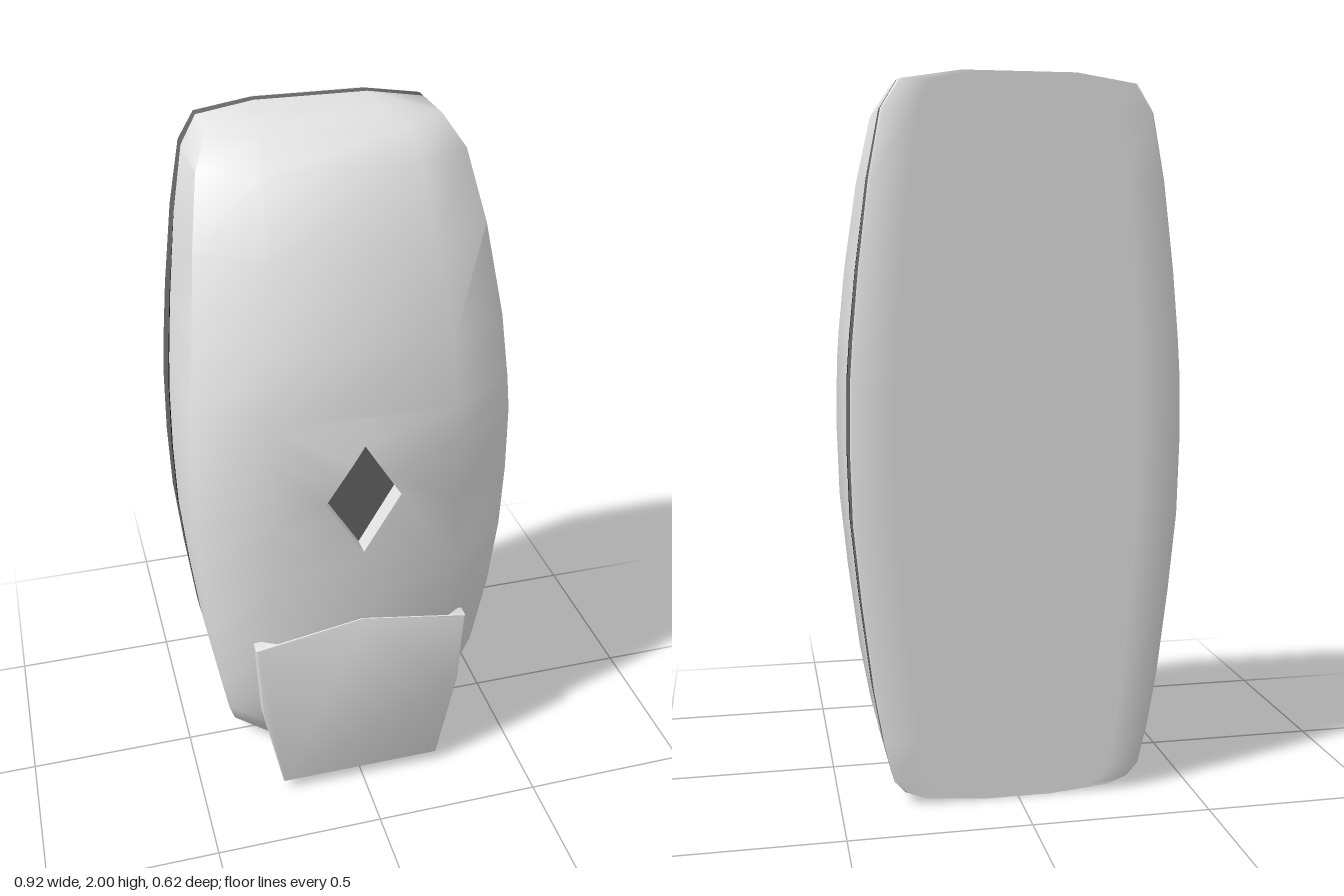
import * as THREE from 'three';
import { mergeGeometries, toCreasedNormals } from 'three/addons/utils/BufferGeometryUtils.js';

const BACK = -0.31;
const EDGE = 0.006;      // small chamfer around the back plate
// Horizontal sections: y, half width, front half width, shoulder z, front z, seam z
const SECTIONS = [
  [0, 0.10, 0.08, -0.17, -0.15, -0.245],
  [0.015, 0.27, 0.21, -0.10, -0.05, -0.243],
  [0.035, 0.32, 0.235, -0.03, 0.05, -0.24],
  [0.07, 0.352, 0.245, 0.02, 0.125, -0.238],
  [0.18, 0.378, 0.252, 0.085, 0.20, -0.229],
  [0.33, 0.404, 0.258, 0.135, 0.255, -0.215],
  [0.58, 0.434, 0.262, 0.167, 0.30, -0.197],
  [0.8, 0.455, 0.265, 0.174, 0.304, -0.188],
  [1.0, 0.46, 0.266, 0.178, 0.307, -0.185],
  [1.2, 0.456, 0.265, 0.18, 0.31, -0.19],
  [1.3, 0.449, 0.26, 0.17, 0.292, -0.196],
  [1.48, 0.432, 0.25, 0.142, 0.26, -0.21],
  [1.72, 0.402, 0.23, 0.06, 0.16, -0.235],
  [1.9, 0.368, 0.212, -0.03, 0.065, -0.255],
  [1.975, 0.322, 0.20, -0.11, -0.02, -0.268],
  [2.0, 0.16, 0.13, -0.17, -0.11, -0.272],
].map(([y, w, f, s, z, seam]) => ({ y, w, f, s, z, seam }));
const first = SECTIONS[0], last = SECTIONS[SECTIONS.length - 1];
// Flat closing rows, collapsed onto the centre line
const ROWS = [{ ...first, w: 0, f: 0 }, ...SECTIONS, { ...last, w: 0, f: 0 }];
const CUT = 3;           // rows up to here belong to the dark underside
const HOLE = [8, 11];    // rows between which the front carries the window

const material = (name, color, side = THREE.FrontSide) => {
  const m = new THREE.MeshStandardMaterial({ color, side });
  m.name = name;
  return m;
};

// Joins rows of points into a surface; skip(i, j) leaves out a quad
function loft(rows, skip = () => false) {
  const n = rows[0].length, index = [];
  for (let i = 0; i < rows.length - 1; i++) {
    for (let j = 0; j < n - 1; j++) {
      if (skip(i, j)) continue;
      const a = i * n + j, b = a + 1, c = b + n, d = a + n;
      index.push(a, b, c, a, c, d);
    }
  }
  const g = new THREE.BufferGeometry();
  g.setAttribute('position', new THREE.Float32BufferAttribute(rows.flat(2), 3));
  g.setIndex(index);
  return g.toNonIndexed();
}

const shellRow = (r) => [
  [-r.w, r.y, r.seam], [-r.w, r.y, r.s], [-r.f, r.y, r.z],
  [r.f, r.y, r.z], [r.w, r.y, r.s], [r.w, r.y, r.seam],
];
// Width of the open joint, closing towards both ends
const gap = (y) => 0.02 * Math.max(0, Math.sin(((y - 0.15) / 1.6) * Math.PI));

// Depth of the front face at a height
const frontZ = (y) => {
  const k = Math.max(1, SECTIONS.findIndex((s) => s.y >= y - 1e-6));
  const a = SECTIONS[k - 1], b = SECTIONS[k];
  return THREE.MathUtils.mapLinear(y, a.y, b.y, a.z, b.z);
};

export function createModel() {
  const group = new THREE.Group();
  const cover = material('cover light grey', 0xe2e2e2);
  const dark = material('dark grey', 0x666666);
  const black = material('seam black', 0x0a0a0a);
  const add = (name, geometry, mat) => {
    const mesh = new THREE.Mesh(geometry, mat);
    mesh.name = name;
    group.add(mesh);
  };
  const smooth = (g) => toCreasedNormals(g, 1.0);

  // Diamond window outline, counterclockwise from the bottom corner
  const diamond = [[-0.005, 0.87], [0.1, 1.05], [-0.005, 1.22], [-0.115, 1.05]]
    .map(([x, y]) => new THREE.Vector2(x, y));
  const along = (k, t) => diamond[k % 4].clone().lerp(diamond[(k + 1) % 4], t);
  const onFront = (v) => [v.x, v.y, frontZ(v.y)];

  // Front cover, with a pierced panel around the window
  const shell = loft(ROWS.slice(CUT).map(shellRow),
    (i, j) => j === 2 && i + CUT >= HOLE[0] && i + CUT < HOLE[1]);
  const span = ROWS.slice(HOLE[0], HOLE[1] + 1);
  const low = span[0], high = span[span.length - 1];
  const outer = [
    [0, low.y, low.z],
    ...span.map((r) => [r.f, r.y, r.z]),
    [0, high.y, high.z],
    ...span.slice().reverse().map((r) => [-r.f, r.y, r.z]),
    [0, low.y, low.z],
  ];
  const inner = [
    along(0, 0), along(0, 0.5), along(1, 0), along(1, 0.35), along(1, 0.7),
    along(2, 0), along(2, 0.3), along(2, 0.65), along(3, 0), along(3, 0.5), along(0, 0),
  ].map(onFront);
  add('frontCover', smooth(mergeGeometries([shell, loft([outer, inner])])), cover);

  // Window recess
  const FLOOR = 0.25;
  const ring = [...diamond, diamond[0]];
  const walls = loft([ring.map(onFront), ring.map((v) => [v.x, v.y, FLOOR])]);
  walls.computeVertexNormals();
  add('windowWalls', walls, material('window wall light grey', 0xe2e2e2, THREE.DoubleSide));
  const floor = new THREE.ShapeGeometry(new THREE.Shape(diamond));
  floor.translate(0, 0, FLOOR);
  add('windowFloor', floor, dark);

  // Dark underside
  add('underside', smooth(loft(ROWS.slice(0, CUT + 1).map(shellRow))), dark);

  // Seam and rear frame on both sides
  for (const side of [1, -1]) {
    const band = (from, to) => smooth(loft(ROWS.map((r) => {
      const points = [[side * r.w, r.y, from(r)], [side * r.w, r.y, to(r)]];
      return side > 0 ? points : points.reverse();
    })));
    const label = side > 0 ? 'left' : 'right';
    const rim = (r) => r.seam - gap(r.y);
    add(label + 'Seam', band((r) => r.seam, rim), black);
    add(label + 'RearFrame', band(rim, () => BACK + EDGE), dark);
  }

  // Back plate with softened long edges
  add('backPlate', smooth(loft(ROWS.map(({ w, y }) => {
    const flat = Math.max(0, w - EDGE);
    return [
      [w, y, BACK + EDGE], [flat, y, BACK], [flat * 0.75, y, BACK],
      [-flat * 0.75, y, BACK], [-flat, y, BACK], [-w, y, BACK + EDGE],
    ];
  }))), cover);

  // Push lever
  const bevel = 0.006;
  const leverShape = new THREE.Shape([
    [-0.249, 0.039], [0.239, 0.039], [0.296, 0.33], [0.309, 0.57],
    [-0.005, 0.624], [-0.319, 0.57], [-0.306, 0.33],
  ].map(([x, y]) => new THREE.Vector2(x, y)));
  const lever = new THREE.ExtrudeGeometry(leverShape, {
    depth: 0.03, bevelEnabled: true, bevelSize: bevel, bevelThickness: bevel, bevelSegments: 2,
  });
  lever.translate(0, 0, 0.269);
  add('pushLever', toCreasedNormals(lever, 0.6), cover);

  return group;
}
